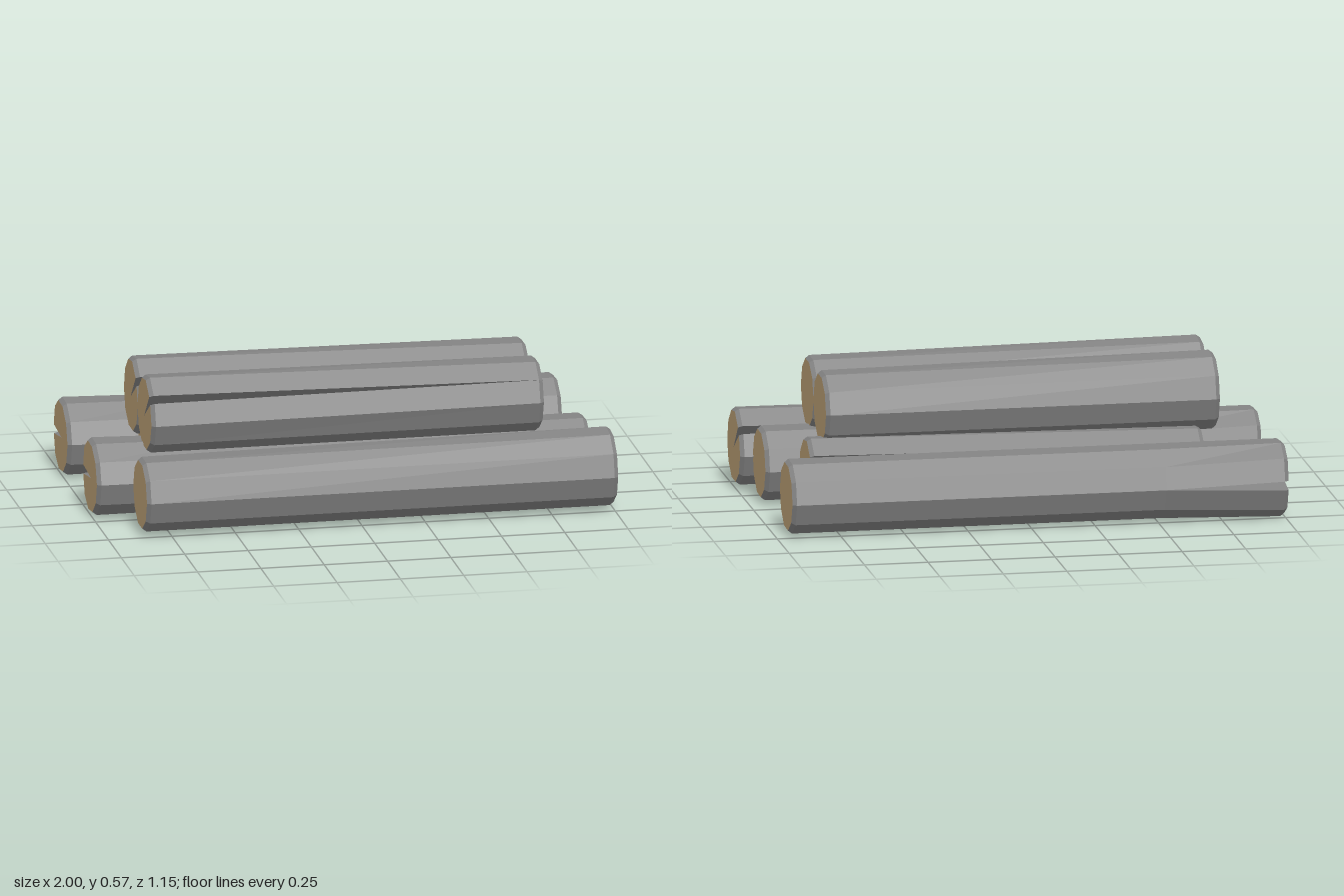
import * as THREE from 'three';

const SIDES = 10;
const STEP = (Math.PI * 2) / SIDES;
const BEVEL = 0.016;

// Cross-section of a log; t is how far the crack is open (0 closed, 1 fully split)
function section(x, t, scale, o) {
  const r = o.radius * scale;
  const a0 = o.crackAngle;
  const weights = [1, 1, 0.5, 0.2];
  // unit vectors across the crack and along it, as (z, y)
  const along = [-Math.cos(a0), Math.sin(a0)];
  const across = [Math.sin(a0), Math.cos(a0)];
  const drift = o.drift * t;
  const points = [];
  for (let i = 0; i <= SIDES; i++) {
    const a = a0 + i * STEP;
    const lift = t * (o.up * (weights[i] || 0) - o.down * (weights[SIDES - i] || 0));
    points.push(new THREE.Vector3(
      x,
      r * Math.sin(a) + across[1] * lift + along[1] * drift,
      -r * Math.cos(a) + across[0] * lift + along[0] * drift
    ));
  }
  // bottom of the crack
  const depth = r * (1 - t) - 0.005 * t;
  points.push(new THREE.Vector3(x, along[1] * depth, along[0] * depth));
  return points;
}

// A log along x, cracked at its +x end
function logGeometry(o) {
  const h = o.length / 2;
  const rings = [section(h, 1, 0.92, o), section(h - BEVEL, 1, 1, o)];
  if (o.crackLength < o.length) rings.push(section(h - o.crackLength, 0.01, 1, o));
  rings.push(section(-h + BEVEL, 0.01, 1, o), section(-h, 0.01, 0.92, o));

  const pos = [];
  const tri = (a, b, c) => { for (const v of [a, b, c]) pos.push(v.x, v.y, v.z); };
  const n = SIDES + 2;
  // bark and crack walls
  for (let k = 0; k < rings.length - 1; k++) {
    const p = rings[k], q = rings[k + 1];
    for (let i = 0; i < n; i++) {
      const j = (i + 1) % n;
      tri(p[i], q[i], q[j]);
      tri(p[i], q[j], p[j]);
    }
  }
  const barkCount = pos.length / 3;
  // cut ends, fanned from the bottom of the crack
  const first = rings[0], last = rings[rings.length - 1];
  for (let i = 0; i < SIDES; i++) {
    tri(first[n - 1], first[i], first[i + 1]);
    tri(last[n - 1], last[i + 1], last[i]);
  }
  const g = new THREE.BufferGeometry();
  g.setAttribute('position', new THREE.Float32BufferAttribute(pos, 3));
  g.addGroup(0, barkCount, 0);
  g.addGroup(barkCount, pos.length / 3 - barkCount, 1);
  g.computeVertexNormals();
  return g;
}

export function createModel() {
  const bark = new THREE.MeshStandardMaterial({ color: 0x848484, flatShading: true });
  bark.name = 'bark';
  const wood = new THREE.MeshStandardMaterial({ color: 0xc3a67a, flatShading: true });
  wood.name = 'cutWood';

  const longCrack = { crackAngle: STEP, crackLength: 9, up: 0.025, down: 0.008, drift: 0 };
  const shortCrack = { crackAngle: Math.PI + 0.04, crackLength: 0.48, up: 0.018, down: 0.018, drift: 0.012 };

  // x range, centre height and depth; flipped logs are cracked at the -x end
  const logs = [
    { name: 'bottomFrontLog', x: [-0.86, 1.0], y: 0.155, z: 0.425, flip: false, crack: longCrack },
    { name: 'bottomMiddleFrontLog', x: [-1.0, 0.95], y: 0.152, z: 0.153, flip: true, crack: shortCrack },
    { name: 'bottomMiddleBackLog', x: [-0.73, 0.82], y: 0.155, z: -0.13, flip: false, crack: longCrack },
    { name: 'bottomBackLog', x: [-1.0, 0.95], y: 0.15, z: -0.42, flip: true, crack: shortCrack },
    { name: 'topFrontLog', x: [-0.8, 0.75], y: 0.41, z: 0.212, flip: true, crack: longCrack },
    { name: 'topBackLog', x: [-0.8, 0.75], y: 0.41, z: -0.053, flip: true, crack: longCrack },
  ];

  const model = new THREE.Group();
  model.name = 'logPile';
  for (const l of logs) {
    const geo = logGeometry({ ...l.crack, length: l.x[1] - l.x[0], radius: 0.145 });
    const mesh = new THREE.Mesh(geo, [bark, wood]);
    mesh.name = l.name;
    mesh.position.set((l.x[0] + l.x[1]) / 2, l.y, l.z);
    if (l.flip) mesh.rotation.y = Math.PI;
    model.add(mesh);
  }
  return model;
}
